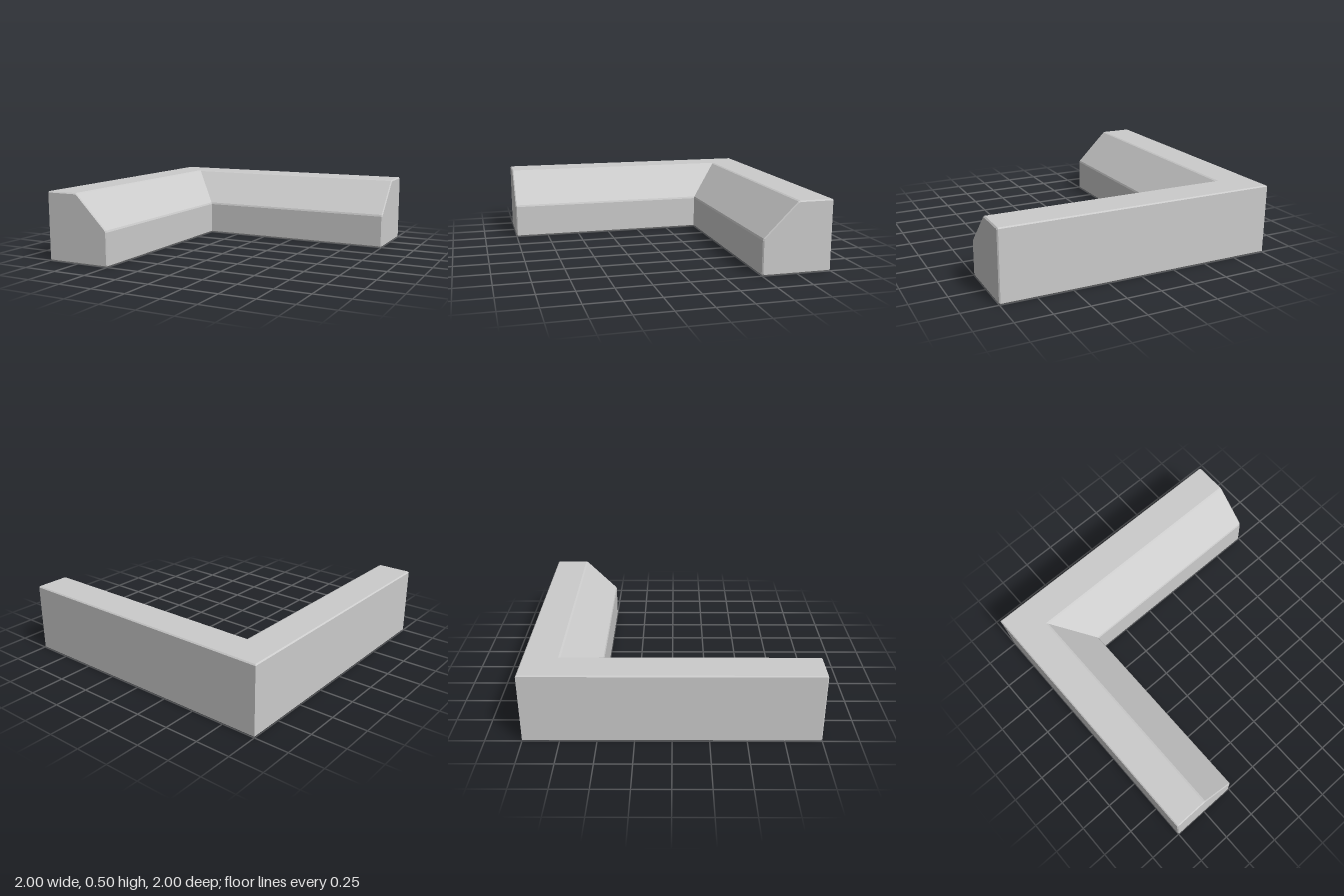
import * as THREE from 'three';

const BEVEL = 0.008;

// Cross-section, (distance from the outer wall, height), counter-clockwise
const corners = [[0, 0], [0.5, 0], [0.5, 0.25], [0.25, 0.5], [0, 0.5]]
  .map(([d, y]) => new THREE.Vector2(d, y));

// Cut every corner of the section by a tiny bevel
function bevelled(points) {
  return points.flatMap((p, i) => {
    const n = points.length;
    return [points[(i + n - 1) % n], points[(i + 1) % n]].map((q) =>
      p.clone().add(q.clone().sub(p).setLength(BEVEL)));
  });
}

// Shrink the section slightly for the bevelled end faces
function shrunk(points) {
  const centre = new THREE.Vector2(0.23, 0.23);
  return points.map((p) => p.clone().sub(centre).multiplyScalar(1 - BEVEL * 4).add(centre));
}

export function createModel() {
  const section = bevelled(corners);
  const endSection = shrunk(section);
  const n = section.length;

  // Sections along the L: front end, mitred corner, right end
  const rings = [
    endSection.map((p) => [p.x - 1, p.y, 1]),
    section.map((p) => [p.x - 1, p.y, 1 - BEVEL]),
    section.map((p) => [p.x - 1, p.y, p.x - 1]),
    section.map((p) => [1 - BEVEL, p.y, p.x - 1]),
    endSection.map((p) => [1, p.y, p.x - 1]),
  ];

  const index = [];
  for (let r = 0; r < rings.length - 1; r++) {
    for (let i = 0; i < n; i++) {
      const j = (i + 1) % n;
      const a = r * n + i, b = r * n + j, c = b + n, d = a + n;
      index.push(a, d, c, a, c, b);
    }
  }
  // End caps
  const last = (rings.length - 1) * n;
  for (let i = 1; i < n - 1; i++) {
    index.push(0, i, i + 1, last, last + i + 1, last + i);
  }

  const indexed = new THREE.BufferGeometry();
  indexed.setAttribute('position', new THREE.Float32BufferAttribute(rings.flat(2), 3));
  indexed.setIndex(index);
  const geometry = indexed.toNonIndexed();
  geometry.computeVertexNormals();

  const material = new THREE.MeshStandardMaterial({ color: 0xcccccc, flatShading: true });
  const mesh = new THREE.Mesh(geometry, material);
  mesh.name = 'cornerBeam';

  const group = new THREE.Group();
  group.name = 'cornerPiece';
  group.add(mesh);
  return group;
}
